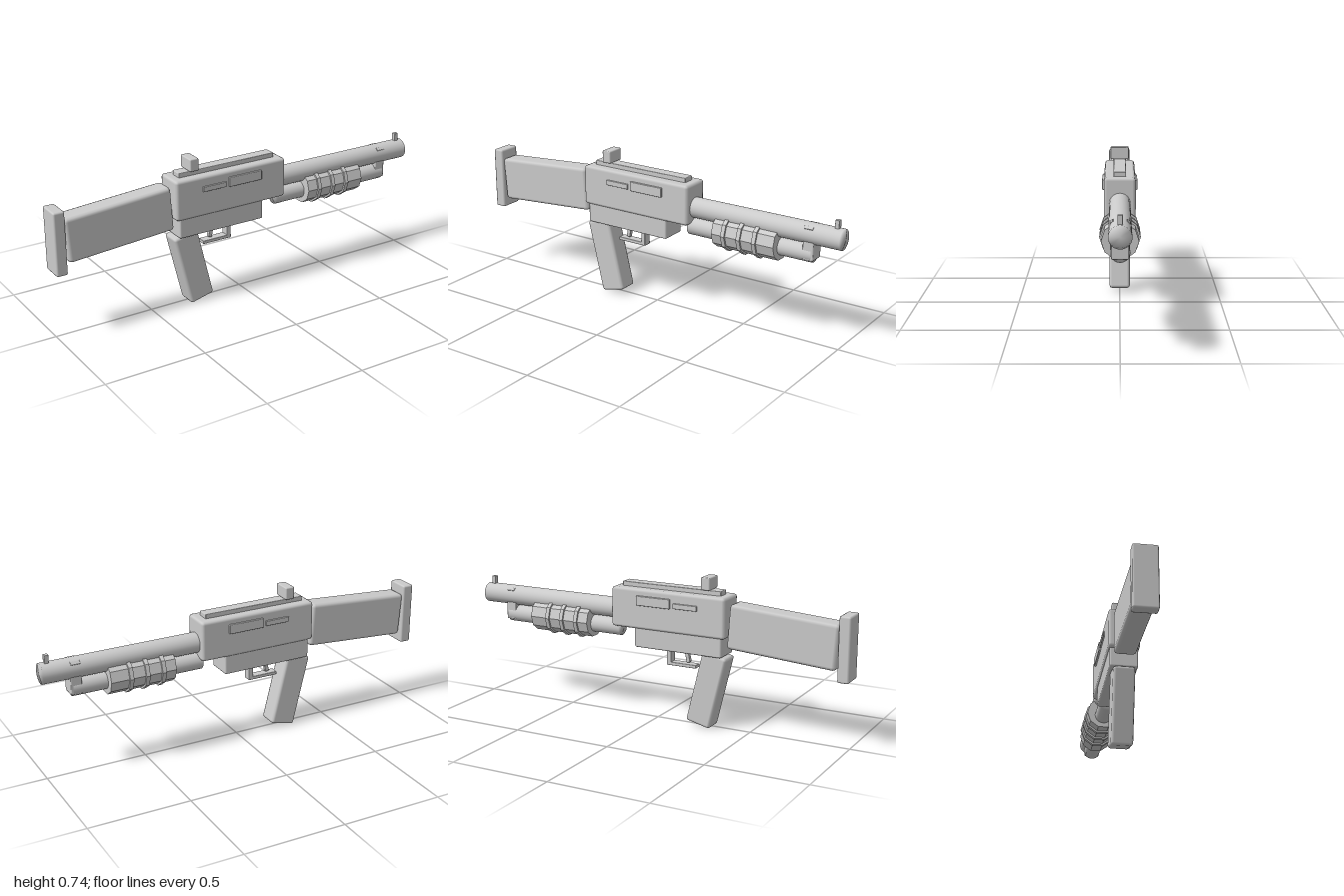
import * as THREE from 'three';
import { RoundedBoxGeometry } from 'three/addons/geometries/RoundedBoxGeometry.js';
import { mergeVertices } from 'three/addons/utils/BufferGeometryUtils.js';

const grey = new THREE.MeshStandardMaterial({ color: 0xcccccc });
const faceted = new THREE.MeshStandardMaterial({ color: 0xcccccc, flatShading: true });

export function createModel() {
  const model = new THREE.Group();

  function add(name, geometry, x, y, z = 0, material = grey) {
    const mesh = new THREE.Mesh(geometry, material);
    mesh.name = name;
    mesh.position.set(x, y, z);
    model.add(mesh);
    return mesh;
  }

  // Bevelled block given by its x and y ranges and its half width in z
  function block(name, x0, x1, y0, y1, halfZ, bevel = 0.004, z = 0) {
    const geometry = new RoundedBoxGeometry(x1 - x0, y1 - y0, halfZ * 2, 1, bevel);
    return add(name, geometry, (x0 + x1) / 2, (y0 + y1) / 2, z);
  }

  // Cylinder lying along x, with normals blended over the end rims
  function tube(name, x0, x1, y, radius) {
    let geometry = new THREE.CylinderGeometry(radius, radius, x1 - x0, 32);
    geometry.deleteAttribute('normal');
    geometry.deleteAttribute('uv');
    geometry = mergeVertices(geometry);
    geometry.computeVertexNormals();
    geometry.rotateZ(-Math.PI / 2);
    return add(name, geometry, (x0 + x1) / 2, y);
  }

  // Ten-sided sleeve along x, with corners at the sides
  function sleeve(name, x0, x1, radius) {
    const geometry = new THREE.CylinderGeometry(radius, radius, x1 - x0, 10);
    geometry.rotateZ(-Math.PI / 2);
    add(name, geometry, (x0 + x1) / 2, 0.457, 0, faceted);
  }

  // Receiver
  block('receiver', -0.39, 0.22, 0.46, 0.66, 0.075, 0.015);
  block('lowerReceiver', -0.37, 0.095, 0.367, 0.475, 0.067, 0.008);
  block('topRail', -0.35, 0.18, 0.655, 0.682, 0.03);
  block('rearSight', -0.297, -0.25, 0.682, 0.744, 0.046, 0.006);

  // Raised plates on both sides of the receiver
  for (const side of [-1, 1]) {
    block('smallSidePlate', -0.248, -0.12, 0.584, 0.61, 0.008, 0.003, side * 0.075);
    block('largeSidePlate', -0.105, 0.078, 0.58, 0.628, 0.01, 0.004, side * 0.075);
  }

  // Stock and butt plate
  block('stock', -0.94, -0.396, 0.393, 0.613, 0.053, 0.018).rotation.z = 0.07;
  block('buttPlate', -1, -0.944, 0.327, 0.638, 0.058, 0.009);

  // Grip, leaning back at the top
  block('grip', -0.349, -0.219, 0.01, 0.38, 0.052, 0.014).rotation.z = 0.24;

  // Trigger and guard
  block('triggerGuardBar', -0.217, -0.06, 0.286, 0.303, 0.022, 0.003);
  block('triggerGuardPost', -0.083, -0.06, 0.286, 0.37, 0.022, 0.003);
  block('trigger', -0.174, -0.154, 0.308, 0.38, 0.01, 0.003).rotation.z = -0.2;

  // Barrel, magazine tube and the clamp joining them
  tube('barrel', 0.2, 1, 0.538, 0.05);
  tube('magazineTube', 0.2, 0.858, 0.443, 0.043);
  block('tubeClamp', 0.815, 0.87, 0.416, 0.508, 0.038, 0.005);
  block('frontSight', 0.957, 0.978, 0.575, 0.626, 0.011, 0.002);

  // Narrow vents on the barrel's upper shoulders
  for (const side of [-1, 1]) {
    const vent = block('barrelVent', 0.82, 0.866, 0.57, 0.576, 0.009, 0.002, side * 0.035);
    vent.rotation.x = side * Math.PI / 4;
  }

  // Ribbed pump
  sleeve('pump', 0.36, 0.69, 0.083);
  for (const x of [0.425, 0.508, 0.59]) sleeve('pumpRib', x - 0.01, x + 0.01, 0.092);

  return model;
}
